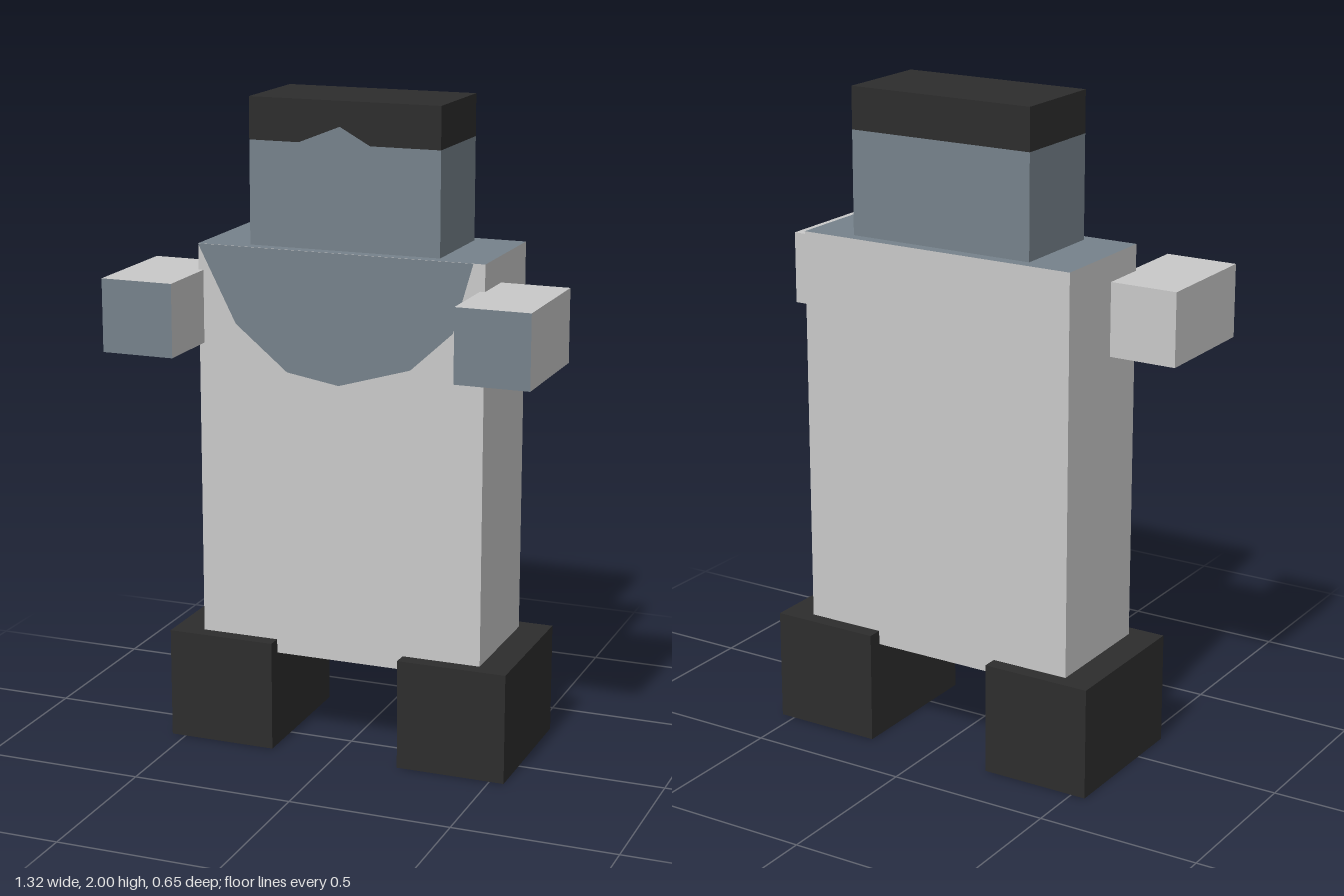
import * as THREE from 'three';

function material(name, color) {
  const m = new THREE.MeshStandardMaterial({ color });
  m.name = name;
  return m;
}

export function createModel() {
  const model = new THREE.Group();
  model.name = 'blockFigure';
  const grey = material('light grey', 0xc9c9c9);
  const slate = material('slate blue', 0x76828b);
  const black = material('soft black', 0x2d2d2d);

  // Box given by its limits on each axis
  function block(name, [x0, x1], [y0, y1], [z0, z1], mat) {
    const mesh = new THREE.Mesh(new THREE.BoxGeometry(x1 - x0, y1 - y0, z1 - z0), mat);
    mesh.position.set((x0 + x1) / 2, (y0 + y1) / 2, (z0 + z1) / 2);
    mesh.name = name;
    model.add(mesh);
  }

  // Flat painted detail facing the front
  function plate(name, points, z, mat) {
    const shape = new THREE.Shape(points.map(([x, y]) => new THREE.Vector2(x, y)));
    const mesh = new THREE.Mesh(new THREE.ShapeGeometry(shape), mat);
    mesh.position.z = z;
    mesh.name = name;
    model.add(mesh);
  }

  // Box faces run +x, -x, +y, -y, +z, -z
  const bodyFaces = [grey, grey, slate, grey, grey, grey];
  const armFaces = [grey, grey, grey, grey, slate, grey];

  // Body with bare shoulders and a bare, uneven chest
  block('body', [-0.45, 0.45], [0.3, 1.56], [-0.28, 0.102], bodyFaces);
  plate('chest', [
    [-0.45, 1.56], [-0.33, 1.325], [-0.165, 1.19], [0, 1.163],
    [0.225, 1.23], [0.355, 1.35], [0.415, 1.56],
  ], 0.105, slate);

  // Head, cap of hair and the notch in the hairline
  block('head', [-0.297, 0.3], [1.56, 1.873], [-0.243, 0.065], slate);
  block('hair', [-0.297, 0.3], [1.873, 2], [-0.243, 0.065], black);
  plate('hairlineNotch', [[-0.14, 1.873], [0.085, 1.873], [-0.01, 1.925]], 0.068, slate);

  // Arms reaching forward, and feet
  for (const [side, s] of [['left', 1], ['right', -1]]) {
    const span = (a, b) => (s > 0 ? [a, b] : [-b, -a]);
    block(side + 'Arm', span(0.435, 0.66), [1.258, 1.48], [-0.045, 0.326], armFaces);
    block(side + 'Foot', span(0.205, 0.545), [0, 0.343], [-0.326, 0.147], black);
  }
  return model;
}
